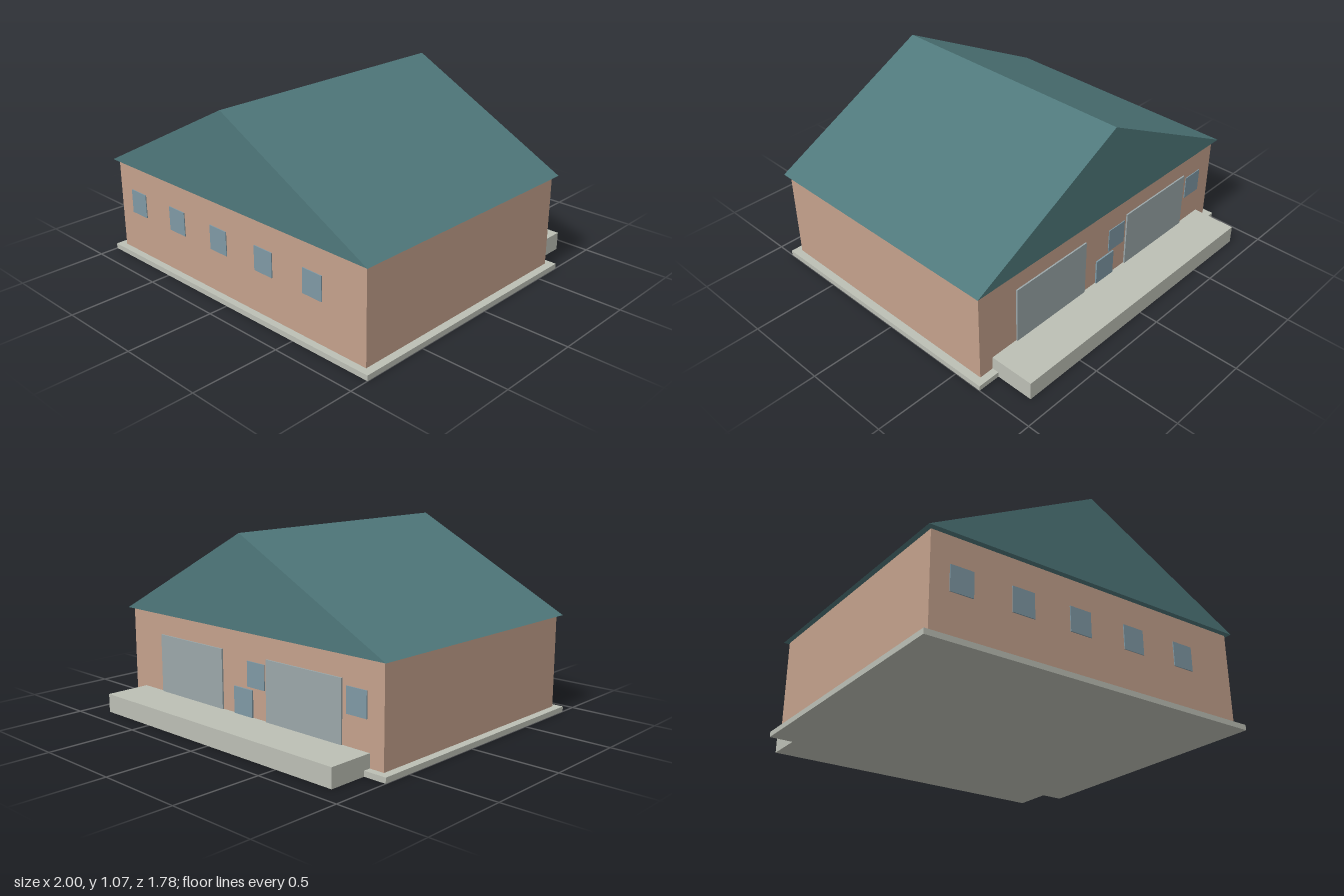
import * as THREE from 'three';

const material = (color) => new THREE.MeshStandardMaterial({ color, flatShading: true });

export function createModel() {
  const group = new THREE.Group();
  const concrete = material(0xbcbfb5);
  const plaster = material(0xc4a18c);
  const roofing = material(0x4f787b);
  const glass = material(0x7f99a5);
  const steel = material(0x9ba7a9);

  // Box given by its extents on each axis
  function box(name, mat, [x0, x1], [y0, y1], [z0, z1]) {
    const mesh = new THREE.Mesh(new THREE.BoxGeometry(x1 - x0, y1 - y0, z1 - z0), mat);
    mesh.position.set((x0 + x1) / 2, (y0 + y1) / 2, (z0 + z1) / 2);
    mesh.name = name;
    group.add(mesh);
  }

  const front = 0.85, back = -0.63;

  // Ground slab, walls and raised loading dock
  box('groundSlab', concrete, [-1, 1], [0, 0.03], [-0.67, 0.89]);
  box('walls', plaster, [-0.955, 0.955], [0.03, 0.555], [back, front]);
  box('loadingDock', concrete, [-0.868, 0.868], [0, 0.105], [-0.89, back]);

  // Solid gable roof, ridge running front to back
  const gable = new THREE.Shape([
    new THREE.Vector2(-0.98, 0.56),
    new THREE.Vector2(0.98, 0.56),
    new THREE.Vector2(0, 1.07),
  ]);
  const roof = new THREE.Mesh(
    new THREE.ExtrudeGeometry(gable, { depth: 1.53, bevelEnabled: false }), roofing);
  roof.position.z = -0.655;
  roof.name = 'roof';
  group.add(roof);

  // Front windows in an even row
  const sill = [0.267, 0.405];
  for (let i = 0; i < 5; i++) {
    const x = -0.85 + i * 0.3475;
    box('frontWindow', glass, [x, x + 0.13], sill, [front - 0.005, front + 0.005]);
  }

  // Back windows beside the loading doors
  for (const x of [-0.85, -0.152]) {
    box('backWindow', glass, [x, x + 0.13], sill, [back - 0.005, back + 0.005]);
  }

  // Two wide loading doors and a small door between them
  for (const x of [-0.43, 0.435]) {
    box('loadingDoor', steel, [x - 0.262, x + 0.262], [0.105, 0.437], [back - 0.009, back + 0.005]);
  }
  box('smallDoor', glass, [-0.062, 0.078], [0.105, 0.253], [back - 0.009, back + 0.005]);

  return group;
}
